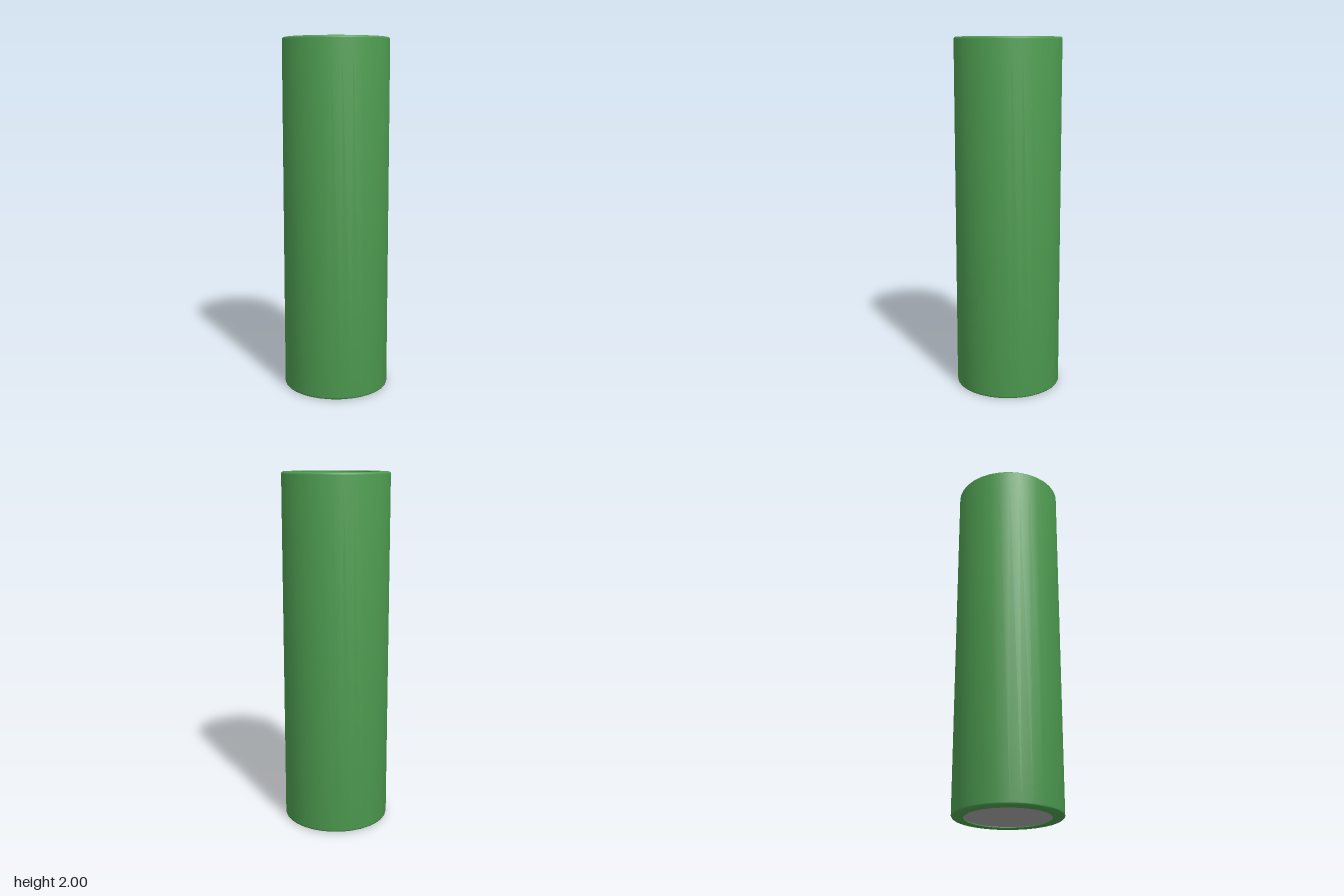
import * as THREE from 'three';
import { toCreasedNormals } from 'three/addons/utils/BufferGeometryUtils.js';

const SEGMENTS = 32;

function addMesh(group, name, geometry, material) {
  const mesh = new THREE.Mesh(toCreasedNormals(geometry, 0.6), material);
  mesh.name = name;
  group.add(mesh);
  return mesh;
}

function lathe(points) {
  return new THREE.LatheGeometry(points.map(([r, y]) => new THREE.Vector2(r, y)), SEGMENTS);
}

// Quarter-round corner of the sleeve profile
function corner(r, y, radius, start) {
  return Array.from({ length: 5 }, (_, i) => {
    const a = start + (i / 4) * Math.PI / 2;
    return [r + radius * Math.cos(a), y + radius * Math.sin(a)];
  });
}

export function createModel() {
  const group = new THREE.Group();
  group.name = 'batteryCell';

  const green = new THREE.MeshStandardMaterial({ color: 0x4d9b50, side: THREE.DoubleSide });
  const metal = new THREE.MeshStandardMaterial({ color: 0xa3a3a3 });
  const light = new THREE.MeshStandardMaterial({ color: 0xcccccc });

  // Wrapped sleeve with rounded rims folded over both ends
  const outer = 0.3, inner = 0.235, round = 0.012;
  addMesh(group, 'sleeve', lathe([
    [inner, 0.01], [inner, 0],
    ...corner(outer - round, round, round, -Math.PI / 2),
    ...corner(outer - round, 2 - round, round, 0),
    [inner, 2], [inner, 1.985],
  ]), green);

  // Metal can: its base is the flat terminal, its top the recessed floor
  const floor = 1.95, top = 1.99;
  const can = new THREE.CylinderGeometry(inner, inner, floor - 0.005, SEGMENTS);
  can.translate(0, (floor + 0.005) / 2, 0);
  addMesh(group, 'can', can, metal);

  // Insulating washer around the raised terminal
  addMesh(group, 'washer', lathe([
    [0.18, floor], [inner, floor], [inner, top], [0.18, top], [0.18, floor],
  ]), light);

  // Raised terminal whose foot flares into three sloping legs
  const height = top - floor;
  const button = new THREE.CylinderGeometry(0.14, 0.14, height, 96);
  const position = button.attributes.position;
  const legAngles = [Math.PI, Math.PI / 3, -Math.PI / 3];
  for (let i = 0; i < position.count; i++) {
    const x = position.getX(i), z = position.getZ(i);
    if (position.getY(i) > 0 || Math.hypot(x, z) < 0.1) continue;
    const angle = Math.atan2(x, z);
    const offset = Math.min(...legAngles.map((a) => Math.acos(Math.min(1, Math.cos(angle - a)))));
    const flare = 1 - THREE.MathUtils.smoothstep(offset, 0.27, 0.42);
    const scale = (0.14 + 0.039 * flare) / 0.14;
    position.setX(i, x * scale);
    position.setZ(i, z * scale);
  }
  button.translate(0, (floor + top) / 2, 0);
  addMesh(group, 'terminalButton', button, metal);

  return group;
}
